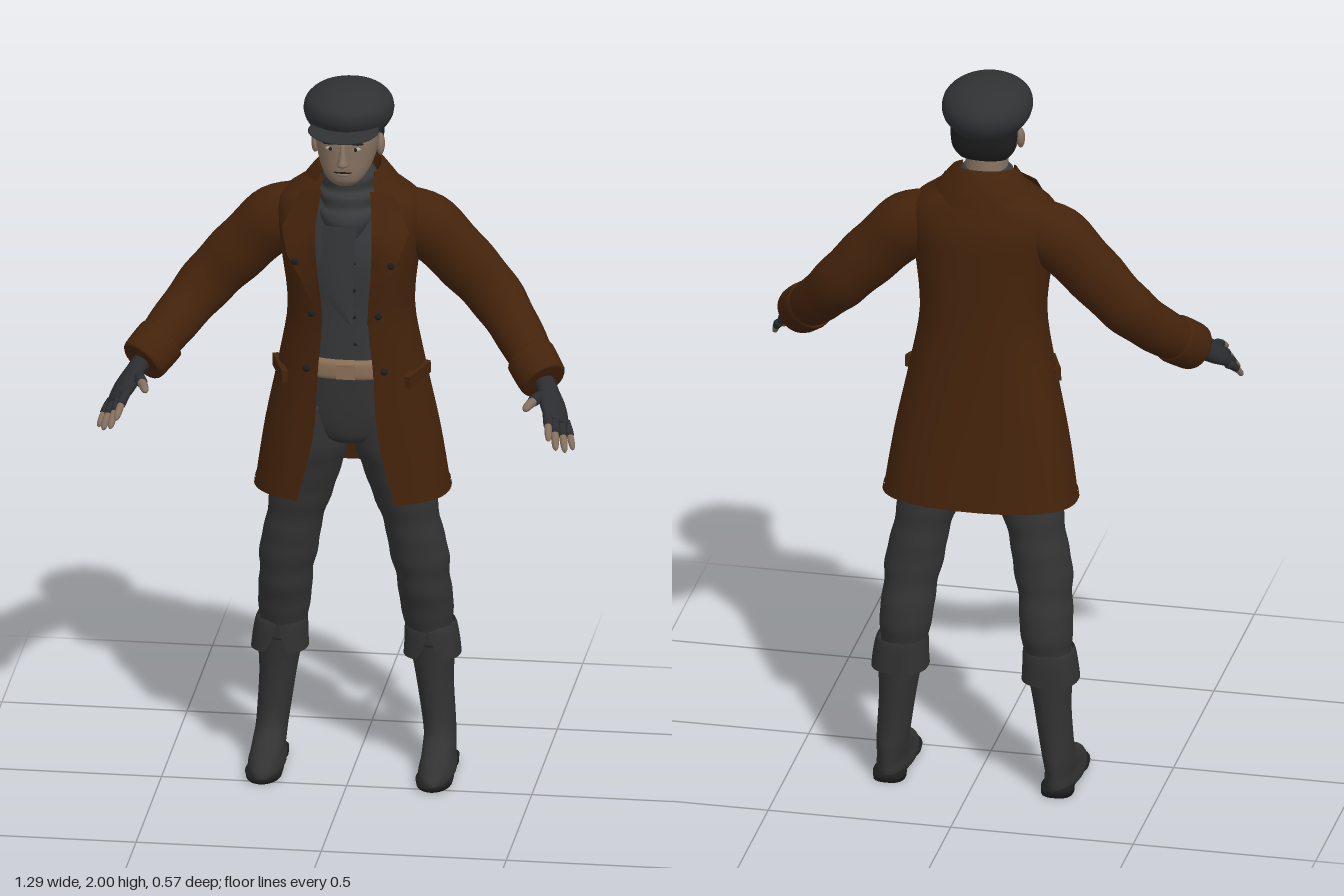
import * as THREE from 'three';

const mat = (name, color, side = THREE.FrontSide) => {
  const m = new THREE.MeshStandardMaterial({ color, side });
  m.name = name;
  return m;
};

// Catmull-Rom through rows of numbers, n steps per span
function smooth(rows, n) {
  const out = [], L = rows.length - 1;
  const at = (i, k) => rows[Math.max(0, Math.min(L, i))][k] ?? 0;
  const width = Math.max(...rows.map((r) => r.length));
  for (let s = 0; s <= L * n; s++) {
    const i = Math.min(L - 1, Math.floor(s / n)), t = s / n - i, row = [];
    for (let k = 0; k < width; k++) {
      const [a, b, c, d] = [at(i - 1, k), at(i, k), at(i + 1, k), at(i + 2, k)];
      row.push(b + 0.5 * t * (c - a + t * (2 * a - 5 * b + 4 * c - d + t * (3 * (b - c) + d - a))));
    }
    out.push(row);
  }
  return out;
}

// Join rings of points into a surface; closed rings get end caps
function skin(rings, closed) {
  const pos = [], idx = [], m = rings[0].length;
  rings.forEach((r) => r.forEach((p) => pos.push(...p)));
  for (let i = 0; i < rings.length - 1; i++)
    for (let j = 0; j < (closed ? m : m - 1); j++) {
      const k = (j + 1) % m, a = i * m + j, b = i * m + k;
      idx.push(a, b, a + m, b, b + m, a + m);
    }
  if (closed)
    [0, rings.length - 1].forEach((e) => {
      const c = pos.length / 3, s = [0, 0, 0];
      rings[e].forEach((p) => p.forEach((v, k) => (s[k] += v / m)));
      pos.push(...s);
      for (let j = 0; j < m; j++) {
        const a = e * m + j, b = e * m + ((j + 1) % m);
        idx.push(...(e ? [a, b, c] : [b, a, c]));
      }
    });
  const g = new THREE.BufferGeometry();
  g.setAttribute('position', new THREE.Float32BufferAttribute(pos, 3));
  g.setIndex(idx);
  g.computeVertexNormals();
  return g;
}

// Horizontal rings, bottom to top: [y, half width, front z, back z, centre x, half opening, front tilt]
function loft(rows, { n = 4, open = false, power = 2, seg = 36, fold = 0 } = {}) {
  const e = 2 / power, curve = (v) => Math.sign(v) * Math.abs(v) ** e;
  return skin(smooth(rows, n).map(([y, rx, zf, zb, cx = 0, gap = 0, tilt = 0]) => {
    const t0 = open ? Math.asin(Math.min(0.98, Math.max(0, gap) / rx) ** (1 / e)) : 0;
    const k = 1 + fold * Math.sin(y * 75) + fold * Math.sin(y * 41);
    return Array.from({ length: open ? seg + 1 : seg }, (_, j) => {
      const t = t0 + ((2 * Math.PI - 2 * t0) * j) / seg;
      return [cx + rx * k * curve(Math.sin(t)), y + tilt * Math.cos(t),
        (zf + zb) / 2 + ((zf - zb) / 2) * k * curve(Math.cos(t))];
    });
  }), !open);
}

// Rings across a bent path: [x, y, z, half width along ref, half thickness]
function sweep(rows, ref = [0, 0, 1], { n = 4, seg = 16, fold = 0 } = {}) {
  const s = smooth(rows, n), P = (r) => new THREE.Vector3(r[0], r[1], r[2]);
  return skin(s.map((r, i) => {
    const T = P(s[Math.min(i + 1, s.length - 1)]).sub(P(s[Math.max(i - 1, 0)])).normalize();
    const side = new THREE.Vector3(...ref).projectOnPlane(T).normalize();
    const up = T.clone().cross(side), k = 1 + fold * Math.sin(i * 1.1);
    return Array.from({ length: seg }, (_, j) => {
      const a = (2 * Math.PI * j) / seg;
      return P(r).addScaledVector(side, r[3] * k * Math.cos(a)).addScaledVector(up, r[4] * k * Math.sin(a)).toArray();
    });
  }), true);
}

const ball = (x, y, z, sx, sy, sz, rx = 0) =>
  new THREE.SphereGeometry(1, 24, 14).scale(sx, sy, sz).rotateX(rx).translate(x, y, z);

function mirrored(geo) {
  const g = geo.clone().scale(-1, 1, 1), a = g.index.array;
  for (let i = 0; i < a.length; i += 3) [a[i], a[i + 1]] = [a[i + 1], a[i]];
  g.computeVertexNormals();
  return g;
}

export function createModel() {
  const model = new THREE.Group();
  model.name = 'figure';
  const D = THREE.DoubleSide;
  const coat = mat('brown coat', 0x44230b, D), skinTone = mat('skin', 0x84705f), cap = mat('cap wool', 0x303133),
    trouser = mat('trouser grey', 0x333334), knit = mat('knit grey', 0x38393a, D), leather = mat('boot leather', 0x323232, D),
    glove = mat('glove', 0x2b2d30), dark = mat('dark trim', 0x1d1d1e), belt = mat('tan belt', 0x8a7058), white = mat('eye white', 0xaaa59e);

  const add = (name, geo, m) => {
    const mesh = new THREE.Mesh(geo, m);
    mesh.name = name;
    model.add(mesh);
  };
  const pair = (name, geo, m) => {
    add('left' + name, geo, m);
    add('right' + name, mirrored(geo), m);
  };

  // Head and face
  add('head', loft([[1.736, 0.022, 0.055, 0.02], [1.752, 0.045, 0.074, -0.01], [1.78, 0.066, 0.08, -0.07],
    [1.82, 0.08, 0.079, -0.115], [1.86, 0.086, 0.078, -0.13], [1.92, 0.085, 0.07, -0.14]], { power: 2.2 }), skinTone);
  add('nose', loft([[1.799, 0.011, 0.085, 0.05], [1.806, 0.017, 0.104, 0.05], [1.818, 0.013, 0.103, 0.05],
    [1.84, 0.009, 0.09, 0.05], [1.862, 0.01, 0.08, 0.05]], { seg: 16 }), skinTone);
  add('mouth', ball(0, 1.783, 0.077, 0.025, 0.003, 0.006), dark);
  add('lowerLip', ball(0, 1.777, 0.076, 0.018, 0.005, 0.008), skinTone);
  pair('Ear', ball(0.088, 1.83, -0.03, 0.011, 0.03, 0.019, -0.2), skinTone);
  pair('Eye', ball(0.034, 1.848, 0.068, 0.014, 0.006, 0.007), white);
  pair('Iris', ball(0.034, 1.848, 0.073, 0.005, 0.005, 0.004), dark);
  pair('Eyebrow', ball(0.036, 1.864, 0.07, 0.02, 0.004, 0.007), dark);
  add('hair', loft([[1.795, 0.066, -0.06, -0.125], [1.82, 0.085, -0.045, -0.137], [1.86, 0.091, -0.03, -0.145],
    [1.9, 0.09, -0.02, -0.15]]), dark);
  add('neck', loft([[1.64, 0.065, 0.0, -0.13], [1.72, 0.058, 0.0, -0.12], [1.8, 0.058, 0.02, -0.11]]), skinTone);

  // Flat cap
  add('capCrown', loft([[1.876, 0.098, 0.07, -0.165], [1.9, 0.115, 0.085, -0.181], [1.927, 0.121, 0.097, -0.187],
    [1.955, 0.114, 0.092, -0.176], [1.98, 0.088, 0.06, -0.14], [1.995, 0.05, 0.02, -0.085], [2, 0.004, -0.025, -0.035]]), cap);
  add('capBrim', ball(0, 1.897, 0.06, 0.096, 0.009, 0.079, 0.14), cap);

  // Shirt, belt and scarf
  add('shirt', loft([[1.14, 0.14, 0.0, -0.2], [1.35, 0.135, 0.015, -0.19], [1.5, 0.15, 0.035, -0.19],
    [1.62, 0.13, 0.025, -0.18], [1.68, 0.08, 0.01, -0.15]], { power: 2.4 }), knit);
  add('belt', loft([[1.168, 0.158, 0.018, -0.21], [1.178, 0.16, 0.022, -0.21], [1.208, 0.16, 0.022, -0.21],
    [1.22, 0.156, 0.016, -0.21]], { power: 2.4 }), belt);
  add('buckle', new THREE.BoxGeometry(0.05, 0.042, 0.01).translate(0, 1.193, 0.024), belt);
  add('scarf', loft([[1.58, 0.05, 0.045, -0.08], [1.62, 0.075, 0.057, -0.12], [1.645, 0.084, 0.05, -0.135],
    [1.66, 0.076, 0.036, -0.13], [1.69, 0.084, 0.034, -0.14], [1.705, 0.072, 0.018, -0.135], [1.735, 0.075, 0.02, -0.135],
    [1.755, 0.062, 0.002, -0.12]]), knit);
  const tail = [[1.62, -0.06, 0.035], [1.5, -0.06, 0.025], [1.4, -0.045, 0.022], [1.335, 0.008, 0.02]];
  add('scarfTail', skin(tail.map(([y, a, b], i) => [[a, y, 0.052 - i * 0.006], [(a + b) / 2, y, 0.06 - i * 0.006],
    [b, y, 0.052 - i * 0.006]]).reverse(), false), knit);
  for (let i = 0; i < 4; i++) add('shirtButton', ball(0.025, 1.27 + i * 0.02 * 4, 0.015 + i * 0.009, 0.005, 0.005, 0.004), dark);

  // Open coat with lapels and collar
  add('coatBody', loft([[0.822, 0.262, 0.03, -0.28, 0, 0.132, -0.008], [1.0, 0.235, 0.028, -0.257, 0, 0.088],
    [1.2, 0.194, 0.03, -0.236, 0, 0.074], [1.35, 0.17, 0.04, -0.226, 0, 0.062], [1.5, 0.184, 0.06, -0.223, 0, 0.074],
    [1.6, 0.2, 0.05, -0.22, 0, 0.08], [1.66, 0.19, 0.03, -0.205, 0, 0.08], [1.7, 0.14, 0.01, -0.19, 0, 0.075],
    [1.735, 0.088, -0.01, -0.165, 0, 0.06]], { open: true, power: 2.4, seg: 56 }), coat);
  add('hemBand', loft([[0.822, 0.265, 0.033, -0.283, 0, 0.132, -0.008], [0.84, 0.262, 0.033, -0.281, 0, 0.128, -0.007]],
    { open: true, power: 2.4, seg: 56, n: 1 }), coat);
  add('collar', loft([[1.675, 0.15, 0.025, -0.205, 0, 0.1, -0.01], [1.71, 0.127, 0.015, -0.192, 0, 0.09, -0.015],
    [1.75, 0.094, 0.012, -0.168, 0, 0.075, -0.022], [1.758, 0.083, 0.008, -0.155, 0, 0.07, -0.02],
    [1.72, 0.08, 0.008, -0.145, 0, 0.07, -0.02]], { open: true }), coat);
  const lapel = [[[0.066, 1.71, 0.02], [0.125, 1.7, -0.005]], [[0.076, 1.62, 0.062], [0.172, 1.6, 0.022]],
    [[0.078, 1.57, 0.074], [0.152, 1.54, 0.072]], [[0.072, 1.45, 0.07], [0.108, 1.45, 0.064]],
    [[0.062, 1.34, 0.05], [0.068, 1.34, 0.05]]];
  pair('Lapel', skin(lapel.reverse(), false), coat);
  pair('PocketFlap', new THREE.BoxGeometry(0.016, 0.034, 0.12).rotateX(0.08).rotateY(-0.35).translate(0.186, 1.17, -0.045), coat);
  [[0.105, 1.2, 0.03], [0.09, 1.36, 0.036], [0.13, 1.52, 0.073]].forEach(([x, y, z]) =>
    pair('CoatButton', ball(x, y, z, 0.01, 0.01, 0.006), dark));

  // Sleeves and turned cuffs
  pair('Sleeve', sweep([[0.13, 1.6, -0.1, 0.07, 0.08], [0.2, 1.582, -0.1, 0.08, 0.088], [0.3, 1.485, -0.1, 0.068, 0.083],
    [0.39, 1.388, -0.09, 0.064, 0.076], [0.465, 1.3, -0.03, 0.062, 0.066], [0.54, 1.215, 0.065, 0.054, 0.058]],
    [0, 0, 1], { seg: 24, n: 6, fold: 0.018 }), coat);
  pair('SleeveCuff', sweep([[0.495, 1.262, 0.012, 0.06, 0.063], [0.502, 1.255, 0.02, 0.065, 0.069],
    [0.536, 1.219, 0.062, 0.062, 0.067], [0.544, 1.211, 0.072, 0.056, 0.06]], [0, 0, 1], { seg: 24 }), coat);
  [0, 1].forEach((i) => pair('CuffButton', ball(0.565 + i * 0.02, 1.265 - i * 0.024, 0.025 + i * 0.022, 0.01, 0.01, 0.01), dark));

  // Fingerless gloves and fingers
  const across = [0.05, -0.04, -0.03];
  pair('Glove', sweep([[0.535, 1.22, 0.05, 0.032, 0.027], [0.557, 1.196, 0.095, 0.033, 0.024], [0.575, 1.173, 0.14, 0.044, 0.024],
    [0.59, 1.15, 0.18, 0.042, 0.019], [0.596, 1.142, 0.198, 0.033, 0.011]], across), glove);
  const fingers = [['Thumb', [0.55, 1.19, 0.12], [0.511, 1.186, 0.23], 0.015], ['Index', [0.567, 1.17, 0.18], [0.584, 1.122, 0.284], 0.012],
    ['Middle', [0.584, 1.155, 0.18], [0.602, 1.092, 0.272], 0.0125], ['Ring', [0.6, 1.141, 0.17], [0.624, 1.079, 0.25], 0.012],
    ['Little', [0.614, 1.13, 0.157], [0.641, 1.074, 0.215], 0.011]];
  fingers.forEach(([name, a, b, r]) => {
    const at = (t, k) => [...a.map((v, i) => v + (b[i] - v) * t + (i === 1 ? 0.03 * t * (1 - t) : 0)), r * k, r * k];
    pair(name + 'Finger', sweep([at(0.3, 0.8), at(0.7, 0.85), at(0.93, 0.65), at(1, 0.15)], across, { seg: 10, n: 2 }), skinTone);
    pair(name + 'GloveSleeve', sweep([at(0, 1.1), at(0.35, 1.1), at(0.58, 1)], across, { seg: 10, n: 2 }), glove);
  });

  // Trousers
  add('trouserSeat', loft([[0.96, 0.04, -0.05, -0.16], [0.985, 0.1, -0.01, -0.2], [1.06, 0.16, 0.004, -0.215],
    [1.19, 0.15, 0.01, -0.205]], { power: 2.3 }), trouser);
  pair('TrouserLeg', loft([[0.36, 0.058, -0.125, -0.25, 0.2], [0.42, 0.066, -0.11, -0.26, 0.195], [0.47, 0.071, -0.098, -0.264, 0.192],
    [0.54, 0.071, -0.078, -0.25, 0.186], [0.61, 0.078, -0.066, -0.236, 0.178], [0.7, 0.077, -0.055, -0.226, 0.162],
    [0.8, 0.084, -0.04, -0.216, 0.138], [0.94, 0.094, -0.008, -0.213, 0.104], [1.08, 0.085, -0.002, -0.205, 0.085]],
    { n: 6, fold: 0.016 }), trouser);

  // Boots with turned tops, soles and heels
  pair('Boot', loft([[0.014, 0.049, 0.03, -0.258, 0.23], [0.03, 0.049, 0.026, -0.26, 0.23], [0.05, 0.045, -0.002, -0.26, 0.23],
    [0.072, 0.044, -0.055, -0.26, 0.229], [0.1, 0.043, -0.112, -0.26, 0.227], [0.15, 0.045, -0.132, -0.256, 0.222],
    [0.25, 0.05, -0.135, -0.256, 0.212], [0.34, 0.06, -0.128, -0.26, 0.206], [0.4, 0.064, -0.12, -0.262, 0.202]]), leather);
  pair('BootCuff', loft([[0.325, 0.077, -0.113, -0.268, 0.206, 0.035], [0.36, 0.074, -0.114, -0.268, 0.205, 0.015],
    [0.4, 0.07, -0.115, -0.267, 0.202, 0.004], [0.415, 0.066, -0.12, -0.264, 0.2, 0.002]], { open: true, power: 2.4 }), leather);
  pair('Sole', loft([[0.002, 0.047, 0.028, -0.13, 0.23], [0.016, 0.051, 0.033, -0.15, 0.23]], { n: 1 }), dark);
  pair('Heel', loft([[0, 0.043, -0.165, -0.26, 0.23], [0.022, 0.044, -0.16, -0.263, 0.23]], { n: 1, power: 2.6 }), dark);

  return model;
}
